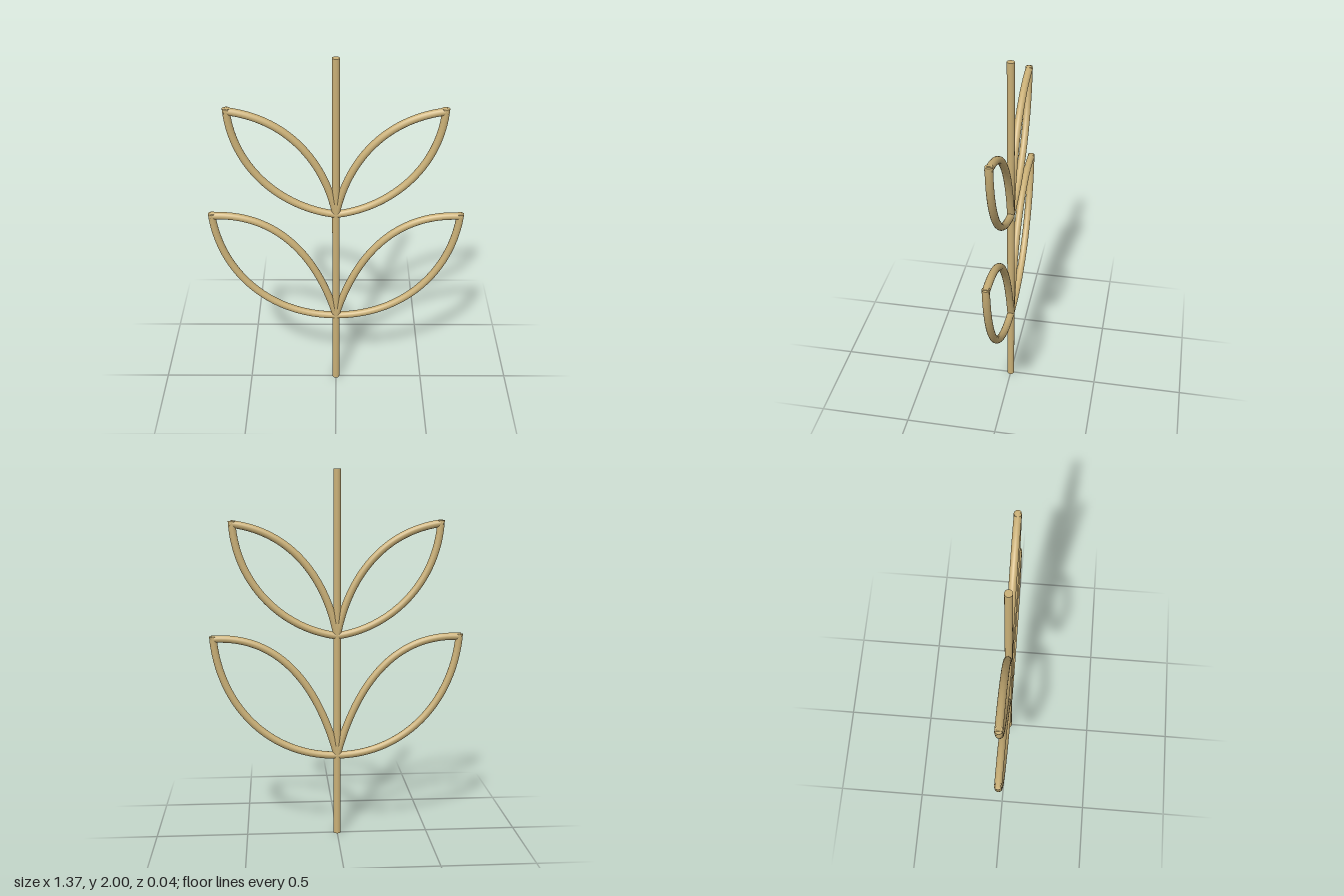
import * as THREE from 'three';

const RADIUS = 0.02;

export function createModel() {
  const brass = new THREE.MeshStandardMaterial({ color: 0xc9af76 });
  brass.name = 'brass';
  const model = new THREE.Group();
  model.name = 'leafBranch';

  // Straight central stem
  const stem = new THREE.Mesh(new THREE.CylinderGeometry(RADIUS, RADIUS, 2, 24), brass);
  stem.name = 'stem';
  stem.position.y = 1;
  model.add(stem);

  // Bent rod with flat ends, following a cubic curve in the z = 0 plane
  function rod(name, points, side) {
    const curve = new THREE.CubicBezierCurve3(
      ...points.map(([x, y]) => new THREE.Vector3(x * side, y, 0)));
    const group = new THREE.Group();
    group.name = name;
    const tube = new THREE.Mesh(new THREE.TubeGeometry(curve, 40, RADIUS, 16), brass);
    tube.name = name + 'Tube';
    group.add(tube);
    for (const t of [0, 1]) {
      const cap = new THREE.Mesh(new THREE.CircleGeometry(RADIUS, 16), brass);
      cap.name = name + 'Cap';
      cap.position.copy(curve.getPoint(t));
      const outward = curve.getTangent(t).multiplyScalar(t ? 1 : -1);
      cap.quaternion.setFromUnitVectors(new THREE.Vector3(0, 0, 1), outward);
      group.add(cap);
    }
    return group;
  }

  // Each leaf outline is an outer and an inner rod meeting at the tip
  const leaves = {
    lower: {
      outer: [[0, 0.45], [0.37, 0.45], [0.64, 0.74], [0.665, 1.122]],
      inner: [[0, 0.45], [0.1, 0.83], [0.3, 1.13], [0.672, 1.107]],
    },
    upper: {
      outer: [[0, 1.118], [0.3, 1.16], [0.54, 1.41], [0.552, 1.733]],
      inner: [[0, 1.118], [0.06, 1.44], [0.25, 1.68], [0.56, 1.718]],
    },
  };
  for (const [level, arcs] of Object.entries(leaves)) {
    for (const side of [1, -1]) {
      const leaf = new THREE.Group();
      leaf.name = level + (side > 0 ? 'LeftLeaf' : 'RightLeaf');
      leaf.add(rod('outerEdge', arcs.outer, side), rod('innerEdge', arcs.inner, side));
      model.add(leaf);
    }
  }
  return model;
}
